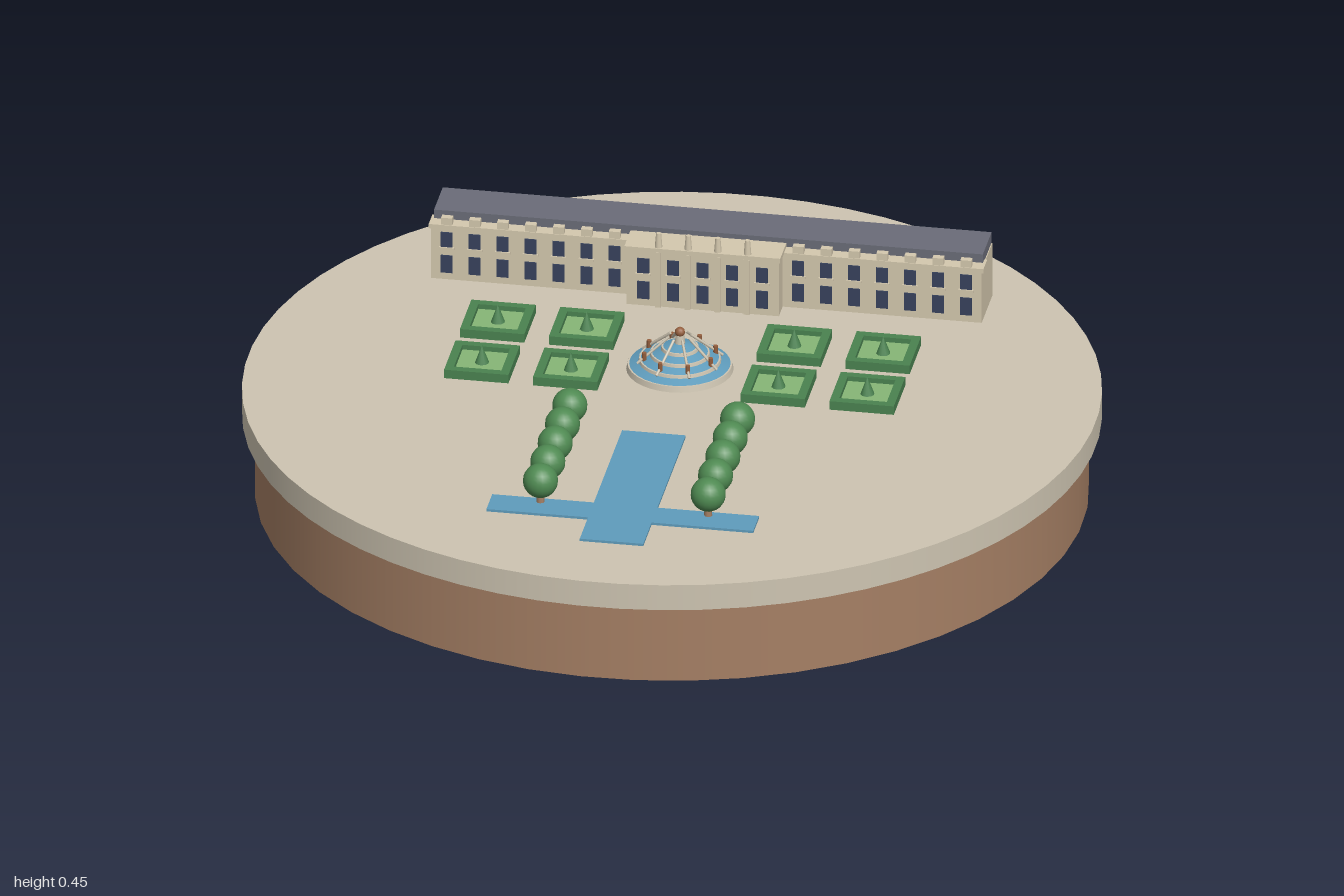
import * as THREE from 'three';

const mat = (name, color, flatShading = false) => {
  const m = new THREE.MeshStandardMaterial({ color, flatShading });
  m.name = name;
  return m;
};

export function createModel() {
  const stone = mat('pale stone', 0xcdc4b1);
  const wall = mat('wall stone', 0xd4c8ae);
  const soil = mat('brown earth', 0xa57f64);
  const slate = mat('slate', 0x6a6c78);
  const glass = mat('window blue', 0x37425c);
  const water = mat('water', 0x5f9cbc);
  const hedge = mat('hedge green', 0x4a8250);
  const lawn = mat('lawn green', 0x86b676);
  const tree = mat('tree green', 0x4f8a52);
  const bronze = mat('bronze', 0x96603f);

  const model = new THREE.Group();
  const GROUND = 0.265;

  const add = (parent, name, geometry, material, x = 0, y = 0, z = 0) => {
    const mesh = new THREE.Mesh(geometry, material);
    mesh.name = name;
    mesh.position.set(x, y, z);
    parent.add(mesh);
    return mesh;
  };
  // Box given by its ranges along each axis
  const block = (parent, name, material, [x0, x1], [y0, y1], [z0, z1]) =>
    add(parent, name, new THREE.BoxGeometry(x1 - x0, y1 - y0, z1 - z0), material,
      (x0 + x1) / 2, (y0 + y1) / 2, (z0 + z1) / 2);
  // Thin rod between two points
  const rod = (parent, name, material, a, b, r) => {
    const dir = b.clone().sub(a);
    const mesh = add(parent, name, new THREE.CylinderGeometry(r, r, dir.length(), 6), material);
    mesh.position.copy(a).add(b).multiplyScalar(0.5);
    mesh.quaternion.setFromUnitVectors(new THREE.Vector3(0, 1, 0), dir.normalize());
  };

  // Round plinth
  add(model, 'earthBase', new THREE.CylinderGeometry(0.97, 0.97, 0.2, 48), soil, 0, 0.1, 0);
  add(model, 'stoneDisc', new THREE.CylinderGeometry(1, 1, GROUND - 0.2, 64), stone, 0, (GROUND + 0.2) / 2, 0);

  // Everything on the plinth is turned 20 degrees
  const estate = new THREE.Group();
  estate.name = 'estate';
  estate.rotation.y = -THREE.MathUtils.degToRad(20);
  model.add(estate);

  // Palace
  const palace = new THREE.Group();
  palace.name = 'palace';
  estate.add(palace);
  const FRONT = -0.455, PAVILION = -0.405;
  block(palace, 'mainWing', wall, [-0.65, 0.65], [GROUND, 0.403], [-0.595, FRONT]);
  block(palace, 'roof', slate, [-0.648, 0.648], [0.403, 0.43], [-0.597, -0.482]);
  block(palace, 'cornice', wall, [-0.655, 0.655], [0.397, 0.408], [-0.5, FRONT + 0.005]);
  block(palace, 'pavilion', wall, [-0.18, 0.18], [GROUND, 0.41], [-0.49, PAVILION]);
  block(palace, 'pavilionCornice', wall, [-0.184, 0.184], [0.406, 0.418], [-0.483, PAVILION + 0.005]);

  const windowPair = (x, z) => {
    block(palace, 'upperWindow', glass, [x - 0.014, x + 0.014], [0.35, 0.388], [z - 0.004, z + 0.003]);
    block(palace, 'lowerWindow', glass, [x - 0.014, x + 0.014], [0.283, 0.328], [z - 0.004, z + 0.003]);
    block(palace, 'windowSill', wall, [x - 0.018, x + 0.018], [0.344, 0.35], [z - 0.004, z + 0.006]);
  };
  for (const side of [-1, 1]) {
    for (let i = 0; i < 7; i++) {
      const x = side * (0.217 + i * 0.066);
      windowPair(x, FRONT);
      block(palace, 'parapetBlock', wall, [x - 0.013, x + 0.013], [0.408, 0.426], [FRONT - 0.013, FRONT + 0.003]);
    }
  }
  for (let i = -2; i <= 2; i++) windowPair(i * 0.07, PAVILION);
  for (let i = 0; i < 4; i++) {
    const x = -0.105 + i * 0.07;
    block(palace, 'pilaster', wall, [x - 0.007, x + 0.007], [GROUND, 0.408], [PAVILION - 0.004, PAVILION + 0.006]);
    add(palace, 'roofStatue', new THREE.CylinderGeometry(0.006, 0.009, 0.036, 8), wall, x, 0.436, PAVILION - 0.006);
  }

  // Tiered round fountain
  const fountain = new THREE.Group();
  fountain.name = 'fountain';
  fountain.position.set(0, GROUND, -0.105);
  estate.add(fountain);
  const tiers = [0.125, 0.098, 0.072, 0.046];
  tiers.forEach((r, i) => {
    const y = i * 0.015;
    const inner = i < 3 ? tiers[i + 1] - 0.002 : 0.012;
    add(fountain, 'tierRim', new THREE.CylinderGeometry(r - 0.003, r, 0.014, 32), stone, 0, y + 0.007, 0);
    add(fountain, 'tierWater', new THREE.CylinderGeometry(inner, r - 0.007, 0.008, 32), water, 0, y + 0.018, 0);
  });
  for (let i = 0; i < 8; i++) {
    const a = (i + 0.5) * Math.PI / 4;
    const at = (r, y) => new THREE.Vector3(Math.cos(a) * r, y, Math.sin(a) * r);
    rod(fountain, 'fountainRib', stone, at(0.102, 0.024), at(0.026, 0.085), 0.0035);
    rod(fountain, 'fountainStatue', bronze, at(0.085, 0.015), at(0.085, 0.05), 0.006);
  }
  add(fountain, 'centreColumn', new THREE.CylinderGeometry(0.009, 0.014, 0.035, 10), stone, 0, 0.075, 0);
  add(fountain, 'centreFinial', new THREE.SphereGeometry(0.012, 12, 8), bronze, 0, 0.095, 0);

  // Hedged garden squares
  const hedgeBorder = (parent, half, width, height) => {
    for (const s of [-1, 1]) {
      const outer = [s * half, s * (half - width)].sort((a, b) => a - b);
      block(parent, 'hedge', hedge, [-half, half], [0, height], outer);
      block(parent, 'hedge', hedge, outer, [0, height], [-half + width, half - width]);
    }
  };
  for (const x of [-0.455, -0.245, 0.245, 0.455]) {
    for (const z of [-0.245, -0.035]) {
      const garden = new THREE.Group();
      garden.name = 'gardenSquare';
      garden.position.set(x, GROUND, z);
      estate.add(garden);
      block(garden, 'lawn', lawn, [-0.07, 0.07], [0, 0.01], [-0.07, 0.07]);
      hedgeBorder(garden, 0.076, 0.02, 0.022);
      add(garden, 'clippedCone', new THREE.ConeGeometry(0.017, 0.046, 10), hedge, 0, 0.032, 0);
    }
  }

  // Cross-shaped canal
  const LEVEL = [GROUND, GROUND + 0.006];
  block(estate, 'canal', water, [-0.075, 0.075], LEVEL, [0.24, 0.8]);
  for (const s of [-1, 1]) {
    const span = [s * 0.075, s * 0.315].sort((a, b) => a - b);
    block(estate, 'canalArm', water, span, LEVEL, [0.613, 0.69]);
  }

  // Tree avenues beside the canal
  for (const x of [-0.198, 0.198]) {
    for (let i = 0; i < 5; i++) {
      const z = 0.242 + i * 0.097;
      add(estate, 'treeTrunk', new THREE.CylinderGeometry(0.008, 0.01, 0.04, 8), soil, x, GROUND + 0.02, z);
      add(estate, 'treeCrown', new THREE.SphereGeometry(0.041, 20, 14), tree, x, 0.326, z);
    }
  }
  return model;
}
